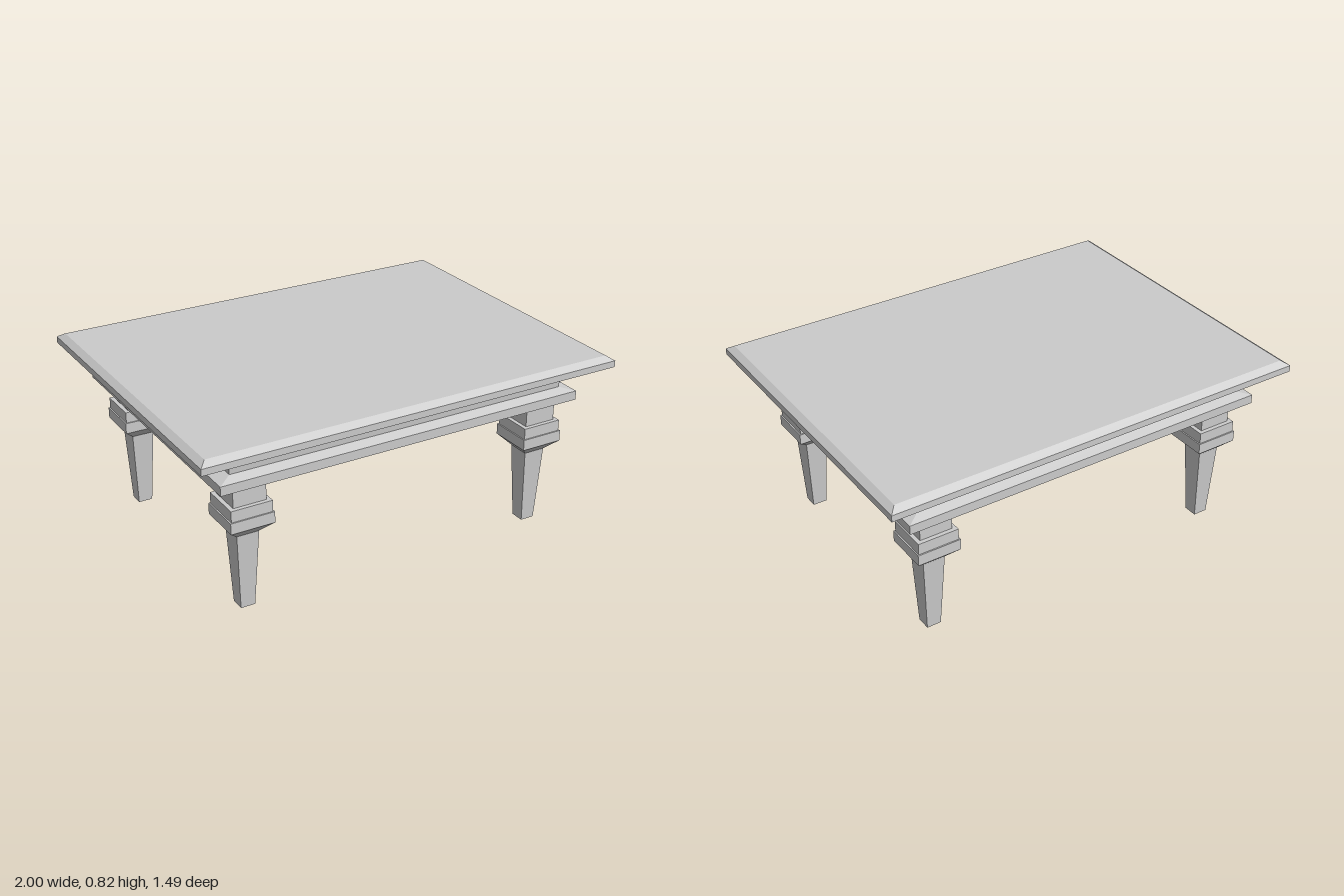
import * as THREE from 'three';

const material = new THREE.MeshStandardMaterial({ color: 0xcccccc, flatShading: true });

// Lofts rectangular loops [y, halfX, halfZ]; a loop of size zero closes an end.
function loft(name, loops) {
  const corners = [[1, 1], [1, -1], [-1, -1], [-1, 1]];
  const point = ([y, hx, hz], i) => [corners[i % 4][0] * hx, y, corners[i % 4][1] * hz];
  const positions = [];
  for (let k = 0; k < loops.length - 1; k++) {
    const low = loops[k], high = loops[k + 1];
    for (let i = 0; i < 4; i++) {
      const a = point(low, i), b = point(low, i + 1);
      const c = point(high, i + 1), d = point(high, i);
      if (low[1] > 0) positions.push(...a, ...b, ...c);
      if (high[1] > 0) positions.push(...a, ...c, ...d);
    }
  }
  const geometry = new THREE.BufferGeometry();
  geometry.setAttribute('position', new THREE.Float32BufferAttribute(positions, 3));
  geometry.computeVertexNormals();
  const mesh = new THREE.Mesh(geometry, material);
  mesh.name = name;
  return mesh;
}

export function createModel() {
  const table = new THREE.Group();
  table.name = 'table';

  // Top with bevelled rim and sloping underside
  table.add(loft('tableTop', [
    [0.745, 0, 0], [0.745, 0.82, 0.615], [0.773, 1, 0.747],
    [0.803, 1, 0.747], [0.823, 0.97, 0.715], [0.823, 0, 0],
  ]));

  // Hollow apron with a stepped moulding round its foot
  const apron = loft('apron', [
    [0.745, 0.625, 0.4], [0.606, 0.625, 0.4], [0.606, 0.877, 0.654],
    [0.648, 0.877, 0.654], [0.665, 0.814, 0.608], [0.745, 0.82, 0.615],
  ]);
  apron.position.z = -0.005;
  table.add(apron);

  // Square legs: neck, two collars, tapered foot
  const legProfile = [
    [0, 0], [0, 0.033], [0.357, 0.051], [0.405, 0.1], [0.455, 0.1], [0.455, 0.094],
    [0.506, 0.094], [0.506, 0.075], [0.607, 0.075], [0.607, 0],
  ].map(([y, h]) => [y, h, h]);
  for (const x of [-1, 1]) {
    for (const z of [-1, 1]) {
      const leg = loft((z > 0 ? 'front' : 'back') + (x > 0 ? 'Left' : 'Right') + 'Leg', legProfile);
      leg.position.set(x * 0.725, 0, z * 0.523);
      table.add(leg);
    }
  }
  return table;
}
